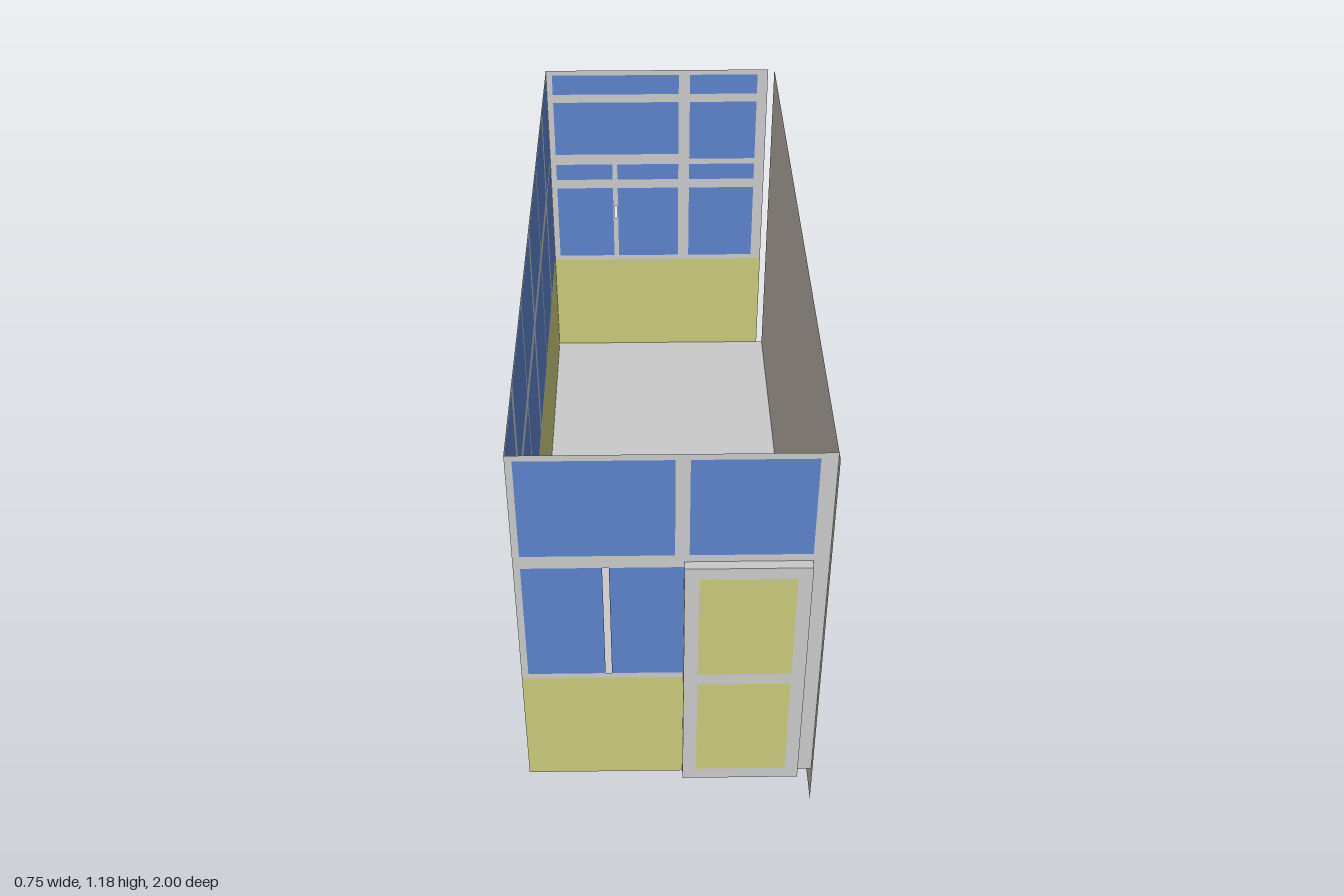
import * as THREE from 'three';

export function createModel() {
  const mat = (name, color) => {
    const m = new THREE.MeshStandardMaterial({ color, side: THREE.DoubleSide });
    m.name = name;
    return m;
  };
  const grey = mat('frameGrey', 0xc9c9c9);
  const blue = mat('glassBlue', 0x5b82ca);
  const yellow = mat('panelYellow', 0xc9c97b);
  const stone = mat('wallStone', 0xb2aaa0);

  // Overall limits
  const L = -0.374, R = 0.372, BACK_R = 0.352, B = 0.093, T = 1.177;
  const FRONT = 0.975, BACK = -1;
  const SILL = 0.455, W0 = 0.472, W1 = 0.833, W2 = 0.871, W3 = 1.16;

  const model = new THREE.Group();
  model.name = 'glazedRoom';
  const group = (name) => {
    const g = new THREE.Group();
    g.name = name;
    model.add(g);
    return g;
  };
  const add = (parent, name, geometry, material) => {
    const m = new THREE.Mesh(geometry, material);
    m.name = name;
    parent.add(m);
    return m;
  };

  // Rectangles are [x0, y0, x1, y1]
  const corners = ([x0, y0, x1, y1]) =>
    [[x0, y0], [x1, y0], [x1, y1], [x0, y1]].map(p => new THREE.Vector2(...p));
  const frameShape = (outline, holes) => {
    const s = new THREE.Shape(outline);
    for (const h of holes) s.holes.push(new THREE.Path(corners(h).reverse()));
    return s;
  };
  const sheet = (parent, name, rect, material) =>
    add(parent, name, new THREE.ShapeGeometry(new THREE.Shape(corners(rect))), material);
  const frame = (parent, name, outline, holes) =>
    add(parent, name, new THREE.ShapeGeometry(frameShape(outline, holes)), grey);

  // Front: glazing, with an open slot between the two middle panes
  const front = group('frontWall');
  front.position.z = FRONT;
  const topPanes = [[-0.357, W2, 0.008, W3], [0.042, W2, 0.333, W3]];
  const frontOutline = [
    [L, SILL], [0.03, SILL], [0.03, W0], [-0.357, W0], [-0.357, W1], [0.03, W1],
    [0.03, 0.85], [0.333, 0.85], [0.333, B], [R, B], [R, T], [L, T],
  ].map(p => new THREE.Vector2(...p));
  frame(front, 'frontFrame', frontOutline, topPanes);
  for (const p of [...topPanes, [-0.357, W0, -0.164, W1], [-0.148, W0, 0.03, W1]])
    sheet(front, 'frontGlass', p, blue);
  sheet(front, 'frontLowerPanel', [L, B, 0.03, SILL], yellow);

  // Door standing proud of the front
  const door = group('door');
  door.position.z = FRONT;
  const doorPanels = [[0.065, 0.129, 0.298, 0.453], [0.065, 0.49, 0.298, 0.815]];
  const depth = 1 - FRONT;
  const extrude = s => new THREE.ExtrudeGeometry(s, { depth, bevelEnabled: false });
  add(door, 'doorFrame', extrude(frameShape(corners([0.03, B, 0.333, 0.85]), doorPanels)), grey);
  for (const p of doorPanels)
    add(door, 'doorPanel', extrude(new THREE.Shape(corners(p))), yellow);

  // Back: rows of panes either side of a post, with a handle hole in the thin mullion
  const back = group('backWall');
  back.position.z = BACK;
  const backPanes = [];
  for (const [x0, x1, rail] of [[-0.355, 0.06, W2], [0.097, 0.318, 0.853]]) {
    backPanes.push([x0, 1.092, x1, W3], [x0, rail, x1, 1.063]);
  }
  for (const [y0, y1] of [[W0, 0.742], [0.775, W1]]) {
    backPanes.push([-0.355, y0, -0.164, y1], [-0.148, y0, 0.06, y1], [0.097, y0, 0.318, y1]);
  }
  frame(back, 'backFrame', corners([L, SILL, BACK_R, T]),
    [...backPanes, [-0.161, 0.624, -0.151, 0.671]]);
  for (const p of backPanes) sheet(back, 'backGlass', p, blue);
  sheet(back, 'backLowerPanel', [L, B, BACK_R, SILL], yellow);

  // Long glazed side: two rows of six panes (local x runs along z)
  const side = group('glazedSide');
  side.position.x = L;
  side.rotation.y = -Math.PI / 2;
  const columns = [[-0.98, -0.738], [-0.702, -0.382], [-0.366, -0.028],
    [0.008, 0.328], [0.344, 0.682], [0.718, 0.958]];
  const sidePanes = [];
  columns.forEach(([z0, z1], i) => {
    const end = i === 0 || i === 5;
    sidePanes.push([z0, W0, z1, end ? 0.843 : W1], [z0, end ? 0.86 : W2, z1, W3]);
  });
  frame(side, 'sideFrame', corners([BACK, SILL, FRONT, T]), sidePanes);
  for (const p of sidePanes) sheet(side, 'sideGlass', p, blue);
  sheet(side, 'sideLowerPanel', [BACK, B, FRONT, SILL], yellow);

  // Plain long wall reaching down to the ground
  const wall = sheet(model, 'plainWall', [-1, 0, 1, T], stone);
  wall.position.x = R;
  wall.rotation.y = -Math.PI / 2;

  // Floor
  const floor = add(model, 'floor', new THREE.PlaneGeometry(R - L, FRONT - BACK), grey);
  floor.rotation.x = -Math.PI / 2;
  floor.position.set((L + R) / 2, B, (FRONT + BACK) / 2);

  return model;
}
